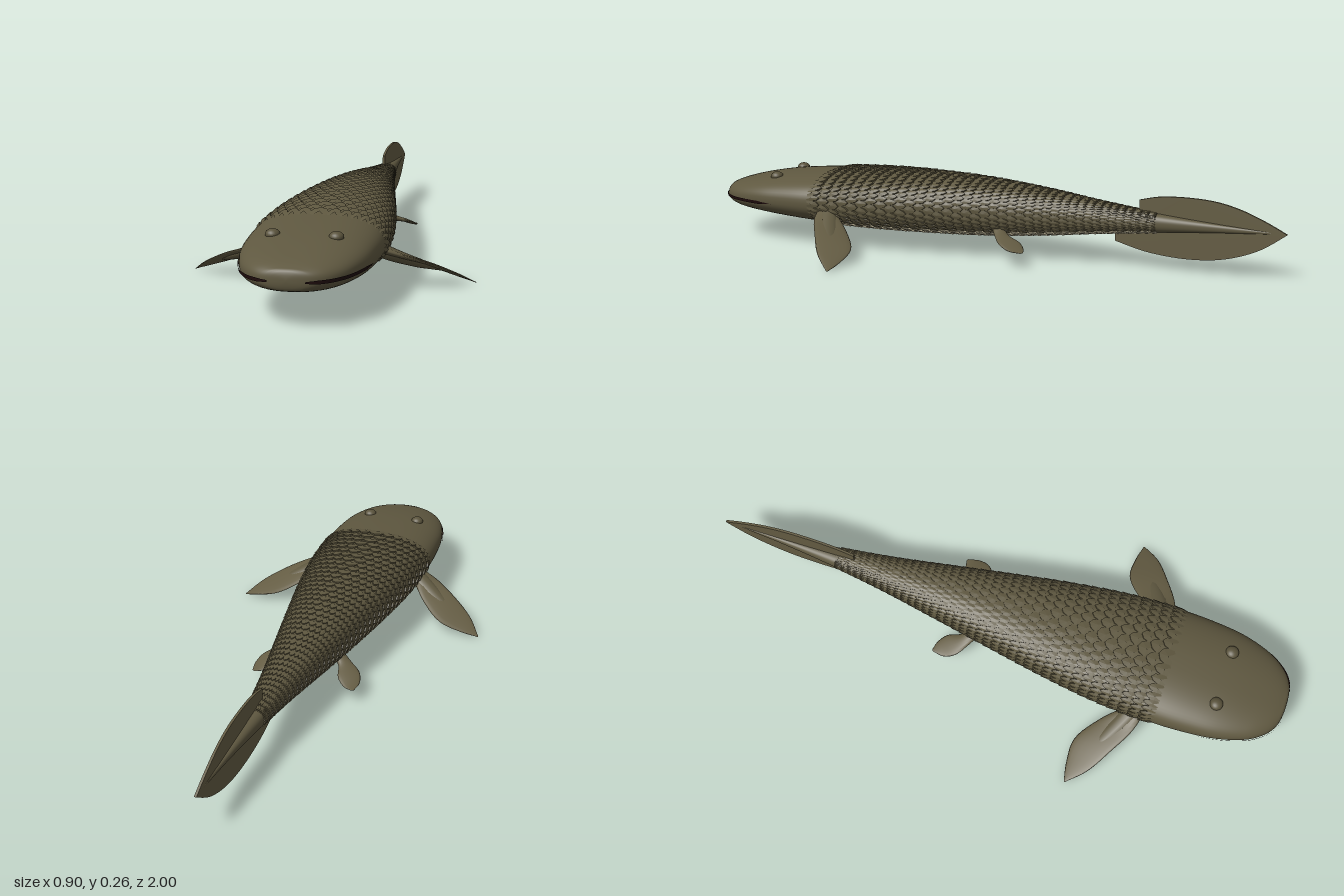
import * as THREE from 'three';

const mat = (name, color, side = THREE.FrontSide) => {
  const m = new THREE.MeshStandardMaterial({ color, side });
  m.name = name;
  return m;
};

// Body stations: z, half width, top y, bottom y
const STATIONS = [
  [1, 0, 0.15, 0.145], [0.995, 0.056, 0.174, 0.121], [0.98, 0.092, 0.183, 0.113],
  [0.95, 0.125, 0.194, 0.105], [0.9, 0.156, 0.207, 0.097], [0.8, 0.186, 0.226, 0.087],
  [0.7, 0.197, 0.238, 0.079], [0.6, 0.2, 0.246, 0.073], [0.4, 0.19, 0.257, 0.067],
  [0.2, 0.163, 0.259, 0.067], [0, 0.128, 0.252, 0.072], [-0.2, 0.092, 0.234, 0.087],
  [-0.4, 0.058, 0.208, 0.109], [-0.6, 0.032, 0.186, 0.128], [-0.8, 0.013, 0.169, 0.143],
  [-0.97, 0.003, 0.158, 0.153],
];
const toS = (z) => Math.sqrt(Math.max(0, 1 - z));

// Smooth section lookup; spaced by the root of the distance so the nose is round
function section(z) {
  const s = toS(z), T = STATIONS, last = T.length - 1;
  let i = 0;
  while (i < last - 1 && s > toS(T[i + 1][0])) i++;
  const S = (k) => toS(T[k][0]);
  const h = S(i + 1) - S(i), t = Math.min(1, (s - S(i)) / h);
  const [w, top, bottom] = [1, 2, 3].map((c) => {
    const slope = (k) => {
      const a = Math.max(0, k - 1), b = Math.min(last, k + 1);
      return (T[b][c] - T[a][c]) / (S(b) - S(a));
    };
    const p = T[i][c], q = T[i + 1][c], d = q - p, m = slope(i) * h, n = slope(i + 1) * h;
    return p + m * t + (3 * d - 2 * m - n) * t * t + (m + n - 2 * d) * t * t * t;
  });
  return { w, cy: (top + bottom) / 2, h: (top - bottom) / 2 };
}

// Point on the boxy oval body surface, lifted outward
const POW = 2.4;
function surface(z, angle, lift = 0) {
  const { w, cy, h } = section(z);
  const c = Math.cos(angle), s = Math.sin(angle);
  const x = w * Math.sign(c) * Math.abs(c) ** (2 / POW);
  const y = h * Math.sign(s) * Math.abs(s) ** (2 / POW);
  const n = new THREE.Vector3(x / (w * w + 1e-6), y / (h * h + 1e-6), 0).normalize();
  return new THREE.Vector3(x, cy + y, z).addScaledVector(n, lift);
}

function fromPoints(points, index) {
  const g = new THREE.BufferGeometry().setFromPoints(points);
  if (index) g.setIndex(index);
  g.computeVertexNormals();
  return g;
}

// Skin over closed rings of equal point count
function loft(rings) {
  const n = rings[0].length, index = [];
  for (let i = 0; i < rings.length - 1; i++) {
    for (let j = 0; j < n; j++) {
      const k = (j + 1) % n, a = i * n, b = a + n;
      index.push(a + j, b + j, a + k, b + j, b + k, a + k);
    }
  }
  return fromPoints(rings.flat(), index);
}

function bodyPart(zFrom, zTo, steps) {
  const rings = [];
  for (let i = 0; i <= steps; i++) {
    const s = THREE.MathUtils.lerp(toS(zFrom), toS(zTo), i / steps);
    rings.push(Array.from({ length: 64 }, (_, j) => surface(1 - s * s, (j / 64) * Math.PI * 2)));
  }
  return loft(rings);
}

// Overlapping scales with raised rear rims, split into back and belly
const OUTLINE = [[-0.5, 0], [-0.56, 0.5], [-0.36, 0.84], [0, 1], [0.36, 0.84], [0.56, 0.5], [0.5, 0]];
function scales() {
  const back = [], belly = [], around = 36, step = (Math.PI * 2) / around;
  let row = 0;
  for (let z = 0.615; z > -0.56; row++) {
    const pitch = THREE.MathUtils.mapLinear(z, 0.6, -0.56, 0.037, 0.024);
    const size = THREE.MathUtils.mapLinear(z, 0.6, -0.56, 1, 0.45);
    for (let j = 0; j < around; j++) {
      const angle = (j + (row % 2) / 2) * step;
      const at = (u, v, lift) => surface(z - v * pitch * 1.75, angle + u * step, lift * size);
      const rim = OUTLINE.map(([u, v]) => at(u, v, -0.003 + 0.011 * v));
      const low = OUTLINE.map(([u, v]) => at(u, v, -0.003));
      const mid = at(0, 0.5, 0.005);
      const isBelly = Math.sin(angle) < 0 && Math.abs(Math.cos(angle)) < 0.72;
      const out = isBelly ? belly : back;
      for (let k = 0; k < rim.length - 1; k++) {
        out.push(mid, rim[k], rim[k + 1]);
        out.push(rim[k], low[k], low[k + 1], rim[k], low[k + 1], rim[k + 1]);
      }
    }
    z -= pitch;
  }
  return [fromPoints(back), fromPoints(belly)];
}

// Paired fin from stations of [leading point, trailing point, half thickness]
function fin(stations, side) {
  const lead = new THREE.CatmullRomCurve3(stations.map((s) => new THREE.Vector3(...s[0])));
  const trail = new THREE.CatmullRomCurve3(stations.map((s) => new THREE.Vector3(...s[1])));
  const up = new THREE.Vector3(0.4, 0.85, -0.3).normalize(), rings = [], steps = 20;
  for (let i = 0; i <= steps; i++) {
    const t = i / steps, f = t * (stations.length - 1), k = Math.min(stations.length - 2, Math.floor(f));
    const thick = THREE.MathUtils.lerp(stations[k][2], stations[k + 1][2], f - k);
    const a = lead.getPoint(t), b = trail.getPoint(t);
    const mid = a.clone().add(b).multiplyScalar(0.5), half = a.clone().sub(b).multiplyScalar(0.5);
    rings.push(Array.from({ length: 16 }, (_, j) => {
      const p = (j / 16) * Math.PI * 2 * side;
      const v = mid.clone().addScaledVector(half, Math.cos(p)).addScaledVector(up, Math.sin(p) * thick);
      v.x *= side;
      return v;
    }));
  }
  return loft(rings);
}

const PECTORAL = [
  [[0.16, 0.148, 0.57], [0.17, 0.125, 0.5], 0.016],
  [[0.24, 0.12, 0.548], [0.23, 0.083, 0.43], 0.009],
  [[0.32, 0.089, 0.502], [0.31, 0.045, 0.372], 0.006],
  [[0.4, 0.045, 0.448], [0.39, 0.02, 0.372], 0.004],
  [[0.45, 0.005, 0.388], [0.448, 0.005, 0.384], 0.001],
];
const LOBE = [
  [[0.15, 0.152, 0.57], [0.16, 0.125, 0.5], 0.024],
  [[0.22, 0.118, 0.535], [0.21, 0.097, 0.472], 0.02],
  [[0.29, 0.085, 0.488], [0.28, 0.068, 0.438], 0.014],
  [[0.36, 0.052, 0.432], [0.355, 0.047, 0.42], 0.003],
];
const PELVIC = [
  [[0.09, 0.112, -0.04], [0.08, 0.108, -0.08], 0.014],
  [[0.128, 0.095, -0.065], [0.1, 0.09, -0.105], 0.01],
  [[0.172, 0.078, -0.098], [0.115, 0.075, -0.15], 0.006],
  [[0.186, 0.062, -0.135], [0.145, 0.06, -0.175], 0.004],
  [[0.18, 0.056, -0.178], [0.172, 0.056, -0.182], 0.001],
];

// Dark slit along one side of the jaw
function mouthSlit(side) {
  const pts = [], index = [], steps = 28;
  for (let i = 0; i <= steps; i++) {
    const s = THREE.MathUtils.lerp(toS(0.996), toS(0.74), i / steps), z = 1 - s * s;
    const { w, cy, h } = section(z);
    const half = 0.0055 * Math.min(1, 0.5 + i / 8, (steps - i) / 4);
    for (const y of [0.145 - half, 0.145 + half]) {
      const x = w * (1 - Math.abs((y - cy) / h) ** POW) ** (1 / POW);
      pts.push(new THREE.Vector3(side * (x + 0.003), y, z + 0.003));
    }
    const a = i * 2;
    if (i < steps) index.push(a, a + 2, a + 1, a + 2, a + 3, a + 1);
  }
  return fromPoints(pts, index);
}

function tailGeometry() {
  const v = (z, y) => new THREE.Vector2(z, y);
  const shape = new THREE.Shape();
  shape.moveTo(-0.44, 0.14);
  shape.lineTo(-0.44, 0.085);
  shape.splineThru([v(-0.55, 0.057), v(-0.68, 0.046), v(-0.8, 0.057), v(-0.91, 0.095), v(-1, 0.155)]);
  shape.splineThru([v(-0.93, 0.19), v(-0.85, 0.222), v(-0.77, 0.241), v(-0.68, 0.247), v(-0.59, 0.243), v(-0.52, 0.228)]);
  shape.lineTo(-0.52, 0.16);
  const g = new THREE.ExtrudeGeometry(shape, { depth: 0.008, bevelEnabled: false, curveSegments: 20 });
  return g.translate(0, 0, -0.004).rotateY(-Math.PI / 2);
}

export function createModel() {
  const model = new THREE.Group();
  const skin = mat('olive skin', 0x5f5840), finSkin = mat('fin olive', 0x645c43);
  const cream = mat('pale belly', 0xc8be9e), dark = mat('mouth dark', 0x1e0c0c, THREE.DoubleSide);
  const eyeSkin = mat('eye olive', 0x5a533c);
  const add = (name, geometry, material) => {
    const mesh = new THREE.Mesh(geometry, material);
    mesh.name = name;
    model.add(mesh);
    return mesh;
  };

  add('head', bodyPart(1, 0.58, 36), skin);
  add('trunk', bodyPart(0.58, -0.97, 50), skin);
  const [back, belly] = scales();
  add('backScales', back, skin);
  add('bellyScales', belly, cream);
  add('tailFin', tailGeometry(), finSkin);

  for (const side of [1, -1]) {
    const label = side > 0 ? 'left' : 'right';
    add(label + 'PectoralFin', fin(PECTORAL, side), finSkin);
    add(label + 'PectoralLobe', fin(LOBE, side), skin);
    add(label + 'PelvicFin', fin(PELVIC, side), finSkin);
    add(label + 'Mouth', mouthSlit(side), dark);
    const eye = add(label + 'Eye', new THREE.SphereGeometry(0.022, 20, 14), eyeSkin);
    eye.position.set(side * 0.093, 0.223, 0.777);
    eye.scale.y = 0.75;
  }
  return model;
}
